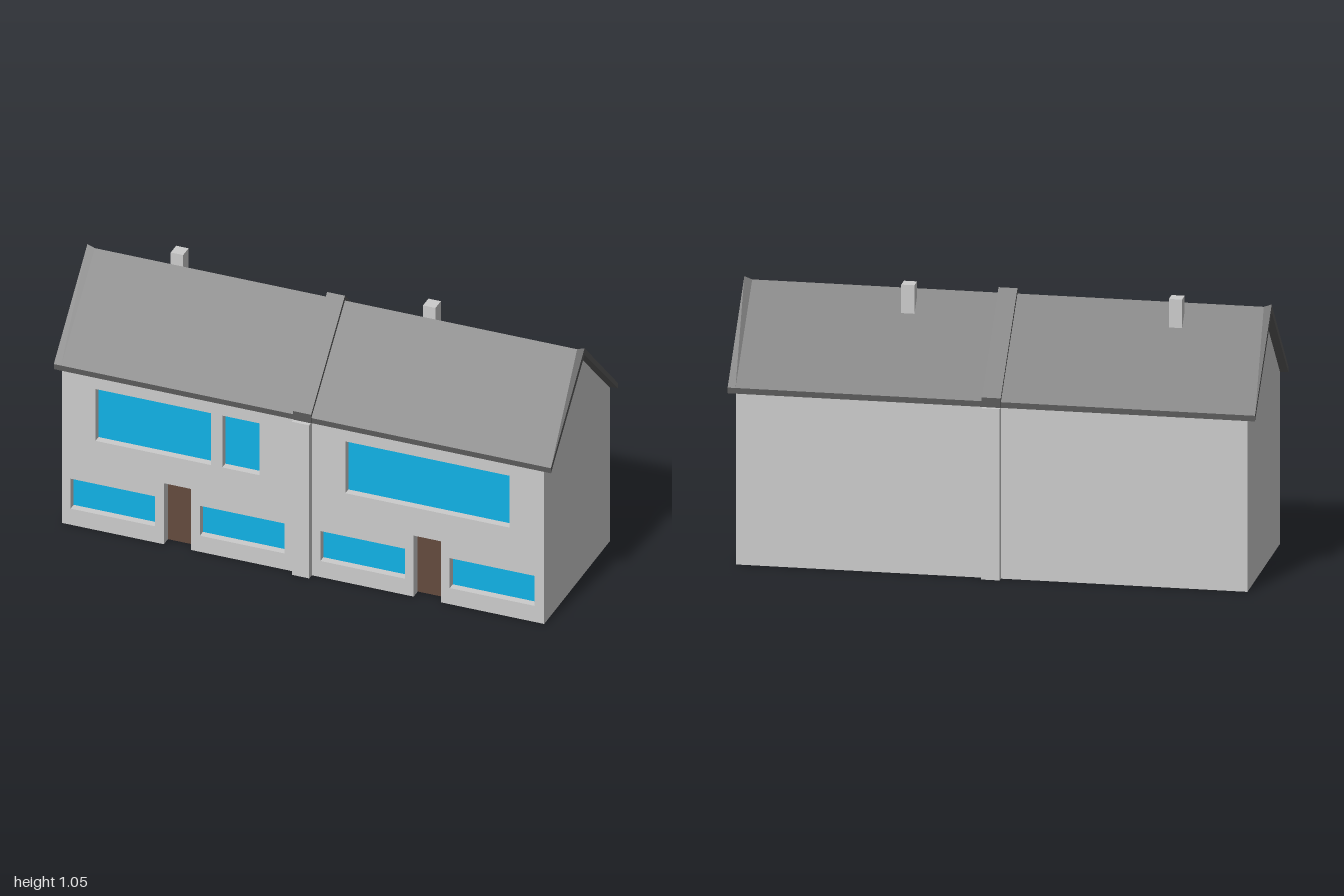
import * as THREE from 'three';

const mat = (color) => new THREE.MeshStandardMaterial({ color, side: THREE.DoubleSide, flatShading: true });

const EAVE = 0.665, APEX = 0.99, FRONT = 0.325, SIDE = 0.97, PIER = 0.035;

export function createModel() {
  const house = new THREE.Group();
  house.name = 'house';
  const wall = mat(0xcccccc), glass = mat(0x10b2e6), wood = mat(0x644a3e), slate = mat(0x5a5a5a);

  const add = (name, geometry, material, parent = house) => {
    const mesh = new THREE.Mesh(geometry, material);
    mesh.name = name;
    parent.add(mesh);
    return mesh;
  };

  // a pane set back from the wall (or forward, if depth is negative) with its reveals
  function opening(name, [x0, x1, y0, y1], depth, material, side = 1) {
    const group = new THREE.Group();
    group.name = name;
    const w = x1 - x0, h = y1 - y0, cx = (x0 + x1) / 2, cy = (y0 + y1) / 2;
    const d = Math.abs(depth), zMid = side * (FRONT - depth / 2);
    add(name + 'Pane', new THREE.PlaneGeometry(w, h).rotateY(side > 0 ? 0 : Math.PI), material, group)
      .position.set(cx, cy, side * (FRONT - depth));
    for (const x of [x0, x1]) {
      add(name + 'Jamb', new THREE.PlaneGeometry(d, h).rotateY(Math.PI / 2), wall, group).position.set(x, cy, zMid);
    }
    for (const y of y0 > 0 ? [y0, y1] : [y1]) {
      add(name + 'Ledge', new THREE.PlaneGeometry(w, d).rotateX(-Math.PI / 2), wall, group).position.set(cx, y, zMid);
    }
    house.add(group);
  }

  // one wall half, its door as a notch in the outline and its windows as holes
  function frontWall(name, x0, x1, door, windows) {
    const points = [[x0, 0], [door[0], 0], [door[0], door[3]], [door[1], door[3]], [door[1], 0], [x1, 0], [x1, EAVE], [x0, EAVE]];
    const shape = new THREE.Shape(points.map((p) => new THREE.Vector2(...p)));
    for (const [a, b, c, d] of windows) {
      shape.holes.push(new THREE.Path([[a, c], [a, d], [b, d], [b, c]].map((p) => new THREE.Vector2(...p))));
      opening('window', [a, b, c, d], 0.03, glass);
    }
    opening('door', door, 0.04, wood);
    add(name, new THREE.ShapeGeometry(shape), wall).position.z = FRONT;
  }

  frontWall('rightFrontWall', -SIDE, -PIER, [-0.56, -0.45, 0, 0.265], [
    [-0.835, -0.37, 0.387, 0.612], [-0.325, -0.176, 0.387, 0.612],
    [-0.935, -0.595, 0.07, 0.2], [-0.415, -0.075, 0.07, 0.2],
  ]);
  frontWall('leftFrontWall', PIER, SIDE, [0.445, 0.555, 0, 0.265], [
    [0.17, 0.83, 0.387, 0.612], [0.07, 0.41, 0.07, 0.2], [0.59, 0.93, 0.07, 0.2],
  ]);

  // plain back wall, gables, and the party-wall piers standing out front and back
  for (const s of [-1, 1]) {
    const w = SIDE - PIER;
    add('backWall', new THREE.PlaneGeometry(w, EAVE).rotateY(Math.PI), wall)
      .position.set(s * (PIER + w / 2), EAVE / 2, -FRONT);
    const gable = new THREE.Shape([[-FRONT, 0], [FRONT, 0], [FRONT, EAVE], [0, APEX], [-FRONT, EAVE]]
      .map((p) => new THREE.Vector2(...p)));
    add('gable', new THREE.ShapeGeometry(gable).rotateY(s * Math.PI / 2), wall).position.x = s * SIDE;
    opening('pier', [-PIER, PIER, 0, EAVE], -0.025, wall, s);
  }

  // pitched slab lofted along x; each station is [x, ridge height]
  function pitchedSlab(name, stations, eaveTop, halfDepth) {
    const positions = [], index = [], n = 6;
    for (const [x, ridge] of stations) {
      for (const [z, y] of [[-halfDepth, EAVE], [-halfDepth, eaveTop], [0, ridge],
        [halfDepth, eaveTop], [halfDepth, EAVE], [0, APEX + 0.005]]) positions.push(x, y, z);
    }
    for (let i = 0; i < stations.length - 1; i++) {
      for (let j = 0; j < n; j++) {
        const a = i * n + j, b = i * n + (j + 1) % n;
        index.push(a, b, b + n, a, b + n, a + n);
      }
    }
    // end caps, one quad per slope
    const e = (stations.length - 1) * n;
    for (const [a, b, c, d] of [[0, 1, 2, 5], [5, 2, 3, 4]]) {
      index.push(a, c, b, a, d, c, e + a, e + b, e + c, e + a, e + c, e + d);
    }
    const geometry = new THREE.BufferGeometry();
    geometry.setAttribute('position', new THREE.Float32BufferAttribute(positions, 3));
    geometry.setIndex(index);
    geometry.computeVertexNormals();
    add(name, geometry, slate);
  }
  // the ridge lifts slightly at both verges
  pitchedSlab('roof', [[-1, 1.024], [-0.97, 1.013], [0.97, 1.013], [1, 1.024]], 0.687, 0.332);
  pitchedSlab('partyWallCap', [[-0.036, 1.034], [0.036, 1.034]], 0.702, 0.334);

  // chimneys just behind the ridge
  for (const x of [-0.65, 0.365]) {
    add('chimney', new THREE.BoxGeometry(0.05, 0.13, 0.053), wall).position.set(x, 0.982, -0.0515);
  }
  return house;
}
